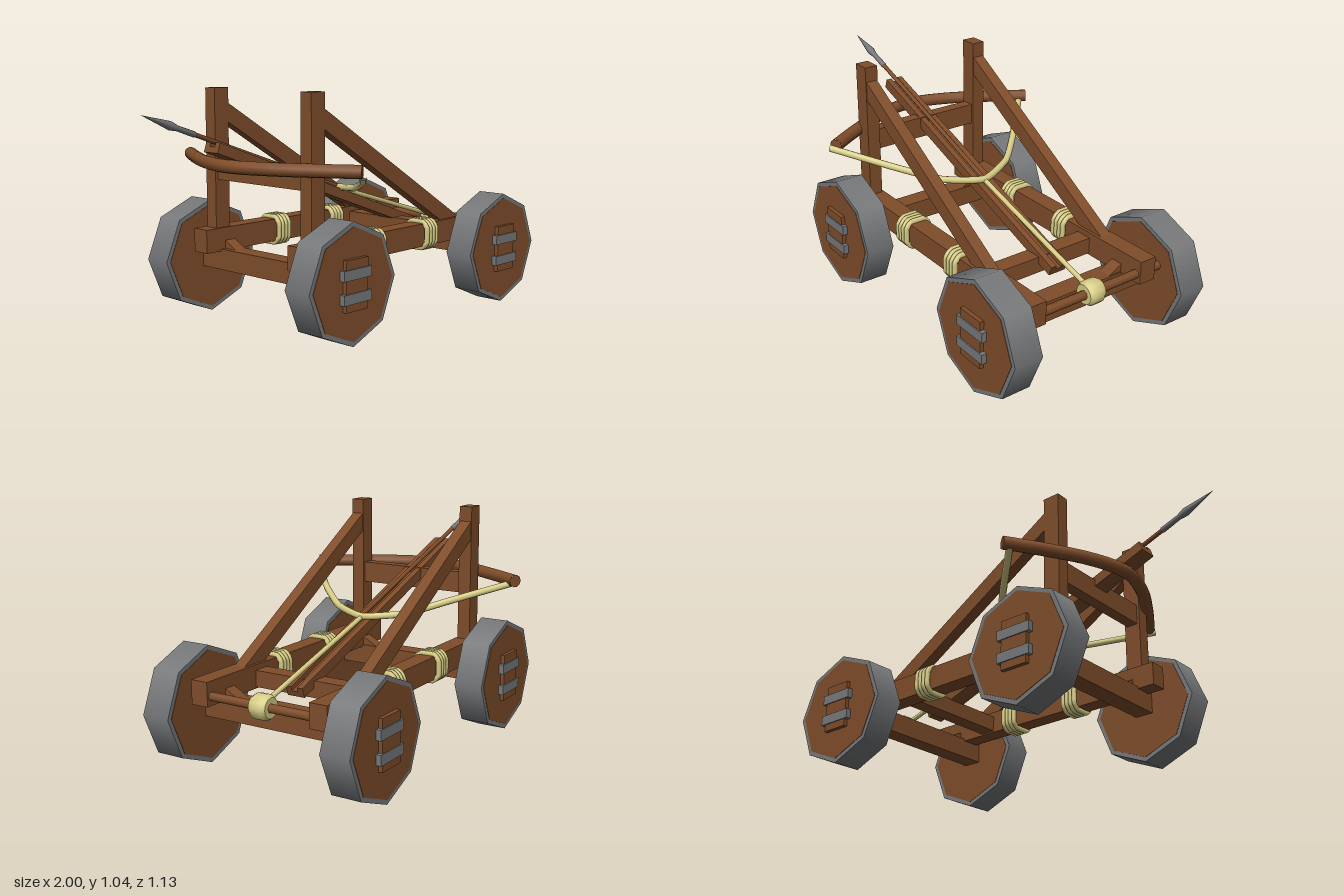
import * as THREE from 'three';
import { toCreasedNormals } from 'three/addons/utils/BufferGeometryUtils.js';

export function createModel() {
  const model = new THREE.Group();
  model.name = 'boltThrower';
  const material = (name, color) => {
    const m = new THREE.MeshStandardMaterial({ color });
    m.name = name;
    return m;
  };
  const wood = material('wood', 0x7f4d2a);
  const iron = material('iron', 0x77797b);
  const rope = material('rope', 0xd9ce86);
  const V = (x, y, z) => new THREE.Vector3(x, y, z);

  const add = (name, geo, mat, x = 0, y = 0, z = 0, parent = model) => {
    const mesh = new THREE.Mesh(geo, mat);
    mesh.name = name;
    mesh.position.set(x, y, z);
    parent.add(mesh);
    return mesh;
  };
  // Box given by its minimum and maximum corners
  const block = (name, mat, a, b, parent = model) =>
    add(name, new THREE.BoxGeometry(b[0] - a[0], b[1] - a[1], b[2] - a[2]), mat,
      (a[0] + b[0]) / 2, (a[1] + b[1]) / 2, (a[2] + b[2]) / 2, parent);
  // Round bar between two points
  const bar = (name, mat, a, b, r1, r2 = r1, sides = 8) => {
    const d = b.clone().sub(a);
    const mesh = add(name, new THREE.CylinderGeometry(r2, r1, d.length(), sides), mat);
    mesh.position.copy(a).lerp(b, 0.5);
    mesh.quaternion.setFromUnitVectors(V(0, 1, 0), d.normalize());
    return mesh;
  };

  // Wheels with iron tyres, wooden discs and strapped hub plates
  const R = 0.2625;
  for (const x of [-0.339, 0.737]) {
    for (const side of [1, -1]) {
      const wheel = new THREE.Group();
      wheel.name = 'wheel';
      wheel.position.set(x, R, 0.01 + side * 0.4425);
      if (side < 0) wheel.rotation.y = Math.PI;
      model.add(wheel);
      const tyre = new THREE.CylinderGeometry(R, R, 0.135, 8).rotateX(Math.PI / 2);
      add('tyre', tyre, iron, 0, 0, 0, wheel);
      const disc = new THREE.CylinderGeometry(0.242, 0.242, 0.139, 8).rotateX(Math.PI / 2);
      add('wheelDisc', disc, wood, 0, 0, 0, wheel);
      block('hubPlate', wood, [-0.066, -0.105, 0.06], [0.066, 0.112, 0.088], wheel);
      for (const y of [0.05, -0.05]) {
        block('hubStrap', iron, [-0.085, y - 0.022, 0.06], [0.085, y + 0.022, 0.093], wheel);
      }
    }
  }

  // Axles and the wedges that brace them to the rails
  for (const x of [-0.345, 0.725]) {
    block('axle', wood, [x - 0.045, 0.22, -0.37], [x + 0.045, 0.315, 0.39]);
    for (const side of [1, -1]) {
      const wedge = add('axleWedge', new THREE.BoxGeometry(0.058, 0.04, 0.1), wood,
        x + 0.01, 0.315, 0.015 + side * 0.225);
      wedge.rotation.x = -side * 0.5;
    }
  }

  // Side frames: rail, post, sloping brace and rope lashings
  const braceShape = new THREE.Shape([
    [-0.34, 0.895], [-0.34, 0.981], [0.62, 0.41], [0.62, 0.39], [0.51, 0.39],
  ].map(p => new THREE.Vector2(...p)));
  const loopPoints = [];
  for (const [u, v] of [[1, 0.55], [0.6, 1], [-0.6, 1], [-1, 0.55],
    [-1, -0.55], [-0.6, -1], [0.6, -1], [1, -0.55]]) {
    loopPoints.push(V(0, v * 0.061, u * 0.058));
  }
  const loop = new THREE.CatmullRomCurve3(loopPoints, true, 'catmullrom', 0.1);
  const loopGeo = new THREE.TubeGeometry(loop, 32, 0.0125, 6, true);
  for (const z of [0.316, -0.278]) {
    block('sideRail', wood, [-0.475, 0.305, z - 0.042], [0.88, 0.412, z + 0.042]);
    block('post', wood, [-0.408, 0.31, z - 0.031], [-0.327, 1.042, z + 0.031]);
    add('brace', new THREE.ExtrudeGeometry(braceShape, { depth: 0.055, bevelEnabled: false }),
      wood, 0, 0, z - 0.0275);
    for (const x of [-0.008, 0.367]) {
      for (let i = 0; i < 4; i++) {
        add('lashing', loopGeo, rope, x + (i - 1.5) * 0.0215, 0.3575, z);
      }
    }
  }

  // Cross members
  block('rearCrossbeam', wood, [0.482, 0.312, -0.25], [0.56, 0.387, 0.28]);
  block('postCrossbeam', wood, [-0.395, 0.632, -0.26], [-0.34, 0.73, 0.3]);

  // Sloping slide with a groove along its top
  const slideShape = new THREE.Shape([
    [-0.043, -0.046], [0.043, -0.046], [0.043, 0], [0.015, 0],
    [0.015, -0.02], [-0.015, -0.02], [-0.015, 0], [-0.043, 0],
  ].map(p => new THREE.Vector2(...p)));
  const start = V(-0.638, 0.834, 0.008);
  const run = V(0.645, 0.374, 0.008).sub(start);
  const slide = add('slide', new THREE.ExtrudeGeometry(slideShape,
    { depth: run.length(), bevelEnabled: false }), wood);
  slide.position.copy(start);
  const along = run.clone().normalize();
  const up = V(-along.y, along.x, 0);
  slide.quaternion.setFromRotationMatrix(
    new THREE.Matrix4().makeBasis(up.clone().cross(along), up, along));

  // Bow, capped at both tips
  const bowPoints = [[-0.3, -0.55], [-0.4, -0.39], [-0.505, -0.19], [-0.55, -0.01],
    [-0.505, 0.17], [-0.4, 0.37], [-0.3, 0.53]].map(([x, z]) => V(x, 0.723, z));
  const bow = new THREE.CatmullRomCurve3(bowPoints);
  add('bow', new THREE.TubeGeometry(bow, 20, 0.029, 10), wood);
  for (const t of [0, 1]) {
    const cap = add('bowTip', new THREE.CircleGeometry(0.029, 10), wood);
    cap.position.copy(bow.getPoint(t));
    const out = bow.getTangent(t).multiplyScalar(t ? 1 : -1);
    cap.quaternion.setFromUnitVectors(V(0, 0, 1), out);
  }

  // Bowstring and draw rope
  const string = new THREE.CatmullRomCurve3([
    V(-0.32, 0.708, -0.525), V(-0.1, 0.642, -0.32), V(0.04, 0.592, -0.17),
    V(0.117, 0.573, 0.01), V(0.04, 0.592, 0.19), V(-0.1, 0.645, 0.355), V(-0.32, 0.708, 0.55),
  ], false, 'catmullrom', 0.25);
  add('bowstring', new THREE.TubeGeometry(string, 30, 0.016, 8), rope);
  bar('drawRope', rope, V(0.11, 0.573, 0.012), V(0.85, 0.352, 0.012), 0.011);

  // Windlass rod with its rope coil
  bar('windlassRod', wood, V(0.853, 0.346, -0.365), V(0.853, 0.346, 0.28), 0.02);
  const coilProfile = [[0, -0.042], [0.044, -0.042], [0.055, -0.025],
    [0.055, 0.025], [0.044, 0.042], [0, 0.042]].map(p => new THREE.Vector2(...p));
  const coil = toCreasedNormals(new THREE.LatheGeometry(coilProfile, 12), 0.9);
  add('windlassCoil', coil.rotateX(Math.PI / 2), rope, 0.85, 0.346, 0.01);

  // Bolt: shaft and iron head
  const tail = V(0.12, 0.575, 0.014), tip = V(-1, 0.962, 0.002);
  const neck = tail.clone().lerp(tip, 0.765);
  bar('boltShaft', wood, tail, neck, 0.01);
  const headLength = neck.distanceTo(tip);
  const headProfile = [[0, 0], [0.013, 0], [0.012, 0.09], [0.019, 0.13], [0.0, headLength]]
    .map(p => new THREE.Vector2(...p));
  const head = add('boltHead', new THREE.LatheGeometry(headProfile, 8), iron);
  head.position.copy(neck);
  head.quaternion.setFromUnitVectors(V(0, 1, 0), tip.clone().sub(neck).normalize());

  return model;
}
